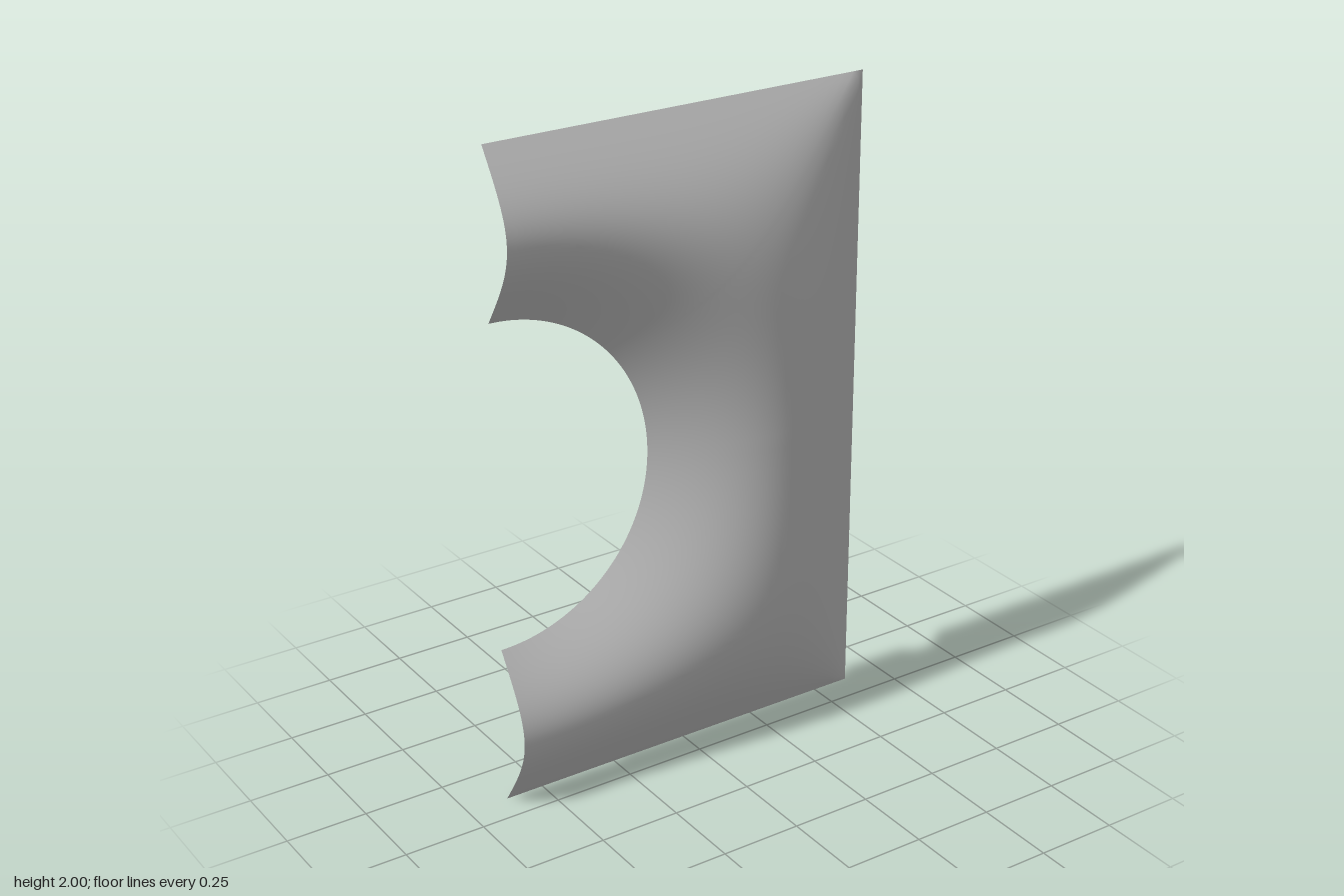
import * as THREE from 'three';

const HALF_W = 0.62, HOLE_R = 0.5, CX = -0.62, CY = 1, BASE_Z = -0.09;

// Bulge height: zero on the hole rim and on the three outer edges, smooth between
function bulge(x, y) {
  const distances = [
    Math.hypot(x - CX, y - CY) - HOLE_R,
    HALF_W - x,
    1 - Math.abs(y - CY),
  ];
  if (Math.min(...distances) < 1e-5) return 0;
  return 0.665 / Math.sqrt(distances.reduce((sum, d) => sum + 1 / (d * d), 0));
}

// Points along the outer edge: top, right side, bottom
function outerEdge() {
  const corners = [[-HALF_W, 2], [HALF_W, 2], [HALF_W, 0], [-HALF_W, 0]];
  const steps = [36, 56, 36];
  const points = [];
  steps.forEach((n, s) => {
    const [a, b] = [corners[s], corners[s + 1]];
    for (let i = 0; i < n; i++) {
      points.push([a[0] + (b[0] - a[0]) * i / n, a[1] + (b[1] - a[1]) * i / n]);
    }
  });
  points.push(corners[3]);
  return points;
}

export function createModel() {
  const group = new THREE.Group();
  group.name = 'shellPanel';
  const grey = new THREE.MeshStandardMaterial({ color: 0xbfbfbf, side: THREE.DoubleSide });
  grey.name = 'light grey';

  // Membrane spanned by rays running from the hole rim to the outer edge
  const edge = outerEdge(), rows = 36;
  const positions = [], index = [];
  edge.forEach(([ex, ey], i) => {
    const dx = ex - CX, dy = ey - CY, length = Math.hypot(dx, dy);
    for (let j = 0; j <= rows; j++) {
      const r = HOLE_R + (length - HOLE_R) * j / rows;
      const x = CX + dx * r / length, y = CY + dy * r / length;
      const onRim = j === 0 || j === rows;
      positions.push(x, y, BASE_Z + (onRim ? 0 : bulge(x, y)));
      if (i < edge.length - 1 && j < rows) {
        const a = i * (rows + 1) + j, b = a + rows + 1;
        index.push(a, b, a + 1, b, b + 1, a + 1);
      }
    }
  });
  const geometry = new THREE.BufferGeometry();
  geometry.setAttribute('position', new THREE.Float32BufferAttribute(positions, 3));
  geometry.setIndex(index);
  geometry.computeVertexNormals();

  const membrane = new THREE.Mesh(geometry, grey);
  membrane.name = 'membrane';
  group.add(membrane);
  return group;
}
